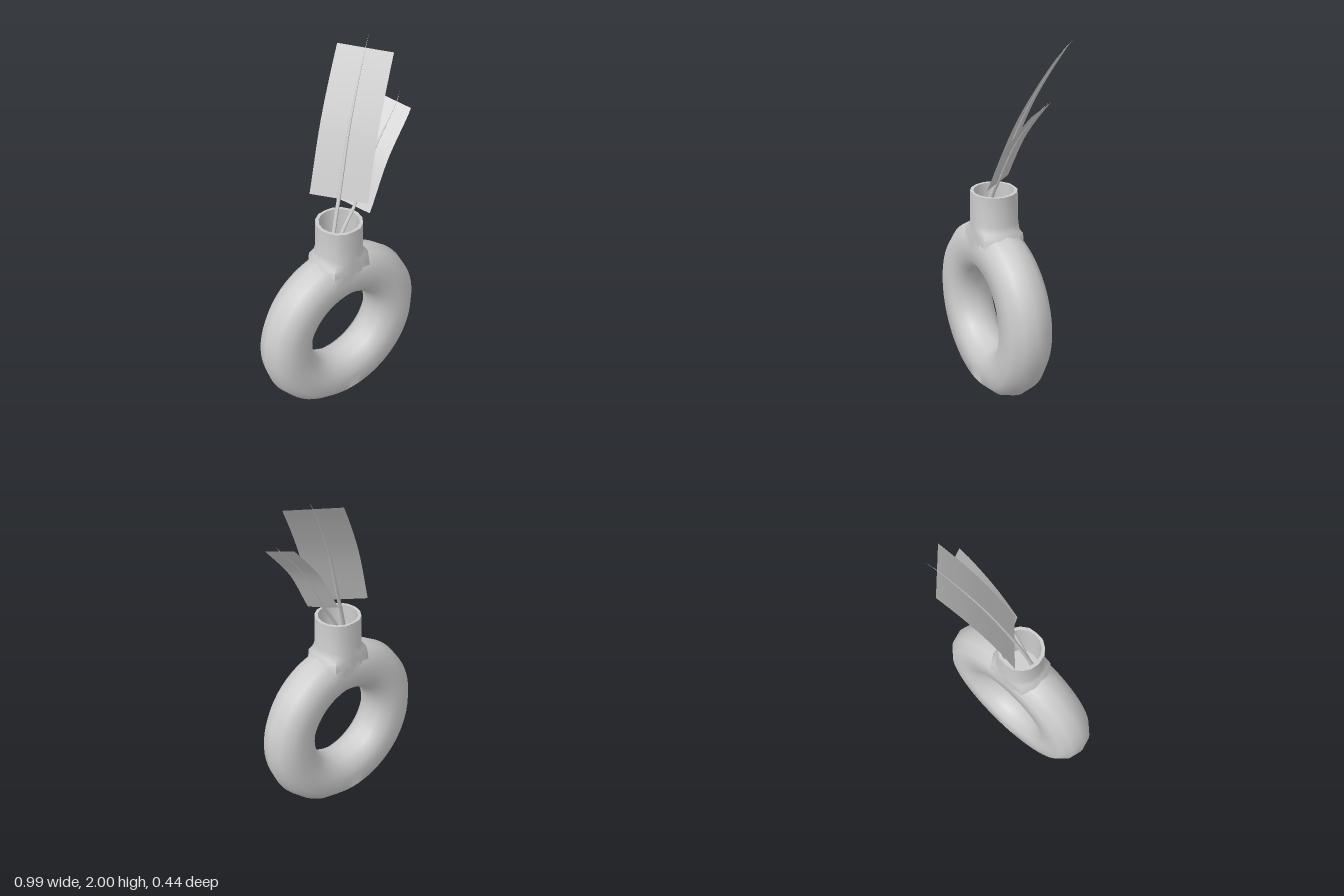
import * as THREE from 'three';
import { toCreasedNormals } from 'three/addons/utils/BufferGeometryUtils.js';

const V = (x, y, z) => new THREE.Vector3(x, y, z);
const CENTRE_Z = 0.1, RING_Y = 0.465, HALF_DEPTH = 0.12;
const material = new THREE.MeshStandardMaterial({ color: 0xcccccc, side: THREE.DoubleSide });

function mesh(name, geometry) {
  const m = new THREE.Mesh(geometry, material);
  m.name = name;
  return m;
}

// Move every vertex of a geometry by a rule
function reshape(geometry, rule) {
  const pos = geometry.attributes.position, p = V(0, 0, 0);
  for (let i = 0; i < pos.count; i++) {
    p.fromBufferAttribute(pos, i);
    rule(p, i);
    pos.setXYZ(i, p.x, p.y, p.z);
  }
  return geometry;
}

const flattenSides = p => { p.z = THREE.MathUtils.clamp(p.z, -HALF_DEPTH, HALF_DEPTH); };

// Ring body: flat front and back, slightly rounded foot, opened under the neck
function ringBody() {
  const torus = reshape(new THREE.TorusGeometry(0.355, 0.14, 12, 64), p => {
    flattenSides(p);
    p.y = Math.max(p.y + RING_Y, 0.04 * (p.z / HALF_DEPTH) ** 2);
  }).toNonIndexed();
  const pos = torus.attributes.position, kept = [], p = V(0, 0, 0);
  for (let i = 0; i < pos.count; i += 3) {
    let underNeck = false;
    for (let k = 0; k < 3; k++) {
      p.fromBufferAttribute(pos, i + k);
      if (p.y > 0.86 && Math.hypot(p.x, p.z) < 0.1) underNeck = true;
    }
    if (!underNeck) kept.push(...pos.array.slice(i * 3, i * 3 + 9));
  }
  const geometry = new THREE.BufferGeometry();
  geometry.setAttribute('position', new THREE.Float32BufferAttribute(kept, 3));
  return toCreasedNormals(geometry, 1.0);
}

// Hollow neck with a small flare where it meets the ring
function neckGeometry() {
  const profile = [
    [0.165, 0.87], [0.16, 0.925], [0.137, 0.95], [0.127, 0.985], [0.125, 1.15],
    [0.107, 1.15], [0.105, 0.86], [0, 0.86],
  ].map(([r, y]) => new THREE.Vector2(r, y));
  const lathe = new THREE.LatheGeometry(profile, 16, Math.PI / 2);
  return toCreasedNormals(reshape(lathe, flattenSides), 0.9);
}

// Tapering stem swept along a curve
function stemGeometry(curve, radius) {
  const steps = 32, sides = 8;
  const tube = new THREE.TubeGeometry(curve, steps, radius, sides);
  reshape(tube, (p, i) => {
    const t = Math.floor(i / (sides + 1)) / steps;
    p.lerp(curve.getPointAt(t), 0.98 * t * t);
  });
  tube.computeVertexNormals();
  return tube;
}

// Thin blade that follows the stem; half vectors run from the stem to one edge
function bladeGeometry(curve, halfLow, halfHigh) {
  const steps = 12, verts = [], index = [];
  for (let i = 0; i <= steps; i++) {
    const t = i / steps, c = curve.getPoint(0.4 + 0.4 * t);
    const half = halfLow.clone().lerp(halfHigh, t);
    for (const s of [-1, 0, 1]) verts.push(...c.clone().addScaledVector(half, s).toArray());
    if (i === steps) continue;
    for (const a of [i * 3, i * 3 + 1]) index.push(a, a + 1, a + 4, a, a + 4, a + 3);
  }
  const geometry = new THREE.BufferGeometry();
  geometry.setAttribute('position', new THREE.Float32BufferAttribute(verts, 3));
  geometry.setIndex(index);
  geometry.computeVertexNormals();
  return geometry;
}

function leaf(name, points, radius, halfLow, halfHigh) {
  const curve = new THREE.CatmullRomCurve3(points);
  const group = new THREE.Group();
  group.name = name;
  group.add(
    mesh('stem', stemGeometry(curve, radius)),
    mesh('blade', bladeGeometry(curve, halfLow, halfHigh)),
  );
  return group;
}

export function createModel() {
  const model = new THREE.Group();
  model.name = 'ringVaseWithLeaves';

  // Vase
  const vase = new THREE.Group();
  vase.name = 'vase';
  vase.position.z = CENTRE_Z;
  vase.add(mesh('ringBody', ringBody()), mesh('neck', neckGeometry()));
  model.add(vase);

  // Leaves
  model.add(
    leaf('tallLeaf', [
      V(-0.1, 0.87, 0.14), V(-0.02, 1.15, 0.092), V(0.02, 1.265, 0.07),
      V(0.152, 1.62, -0.012), V(0.332, 1.95, -0.117), V(0.37, 2.0, -0.14),
    ], 0.011, V(0.105, -0.015, 0.11), V(0.098, -0.015, 0.105)),
    leaf('shortLeaf', [
      V(-0.09, 0.92, 0.118), V(0.037, 1.15, 0.122), V(0.083, 1.22, 0.12),
      V(0.225, 1.475, 0.09), V(0.408, 1.692, 0.05), V(0.44, 1.73, 0.03),
    ], 0.01, V(0.0375, -0.0175, 0.08), V(0.0325, -0.0175, 0.0725)),
  );
  return model;
}
